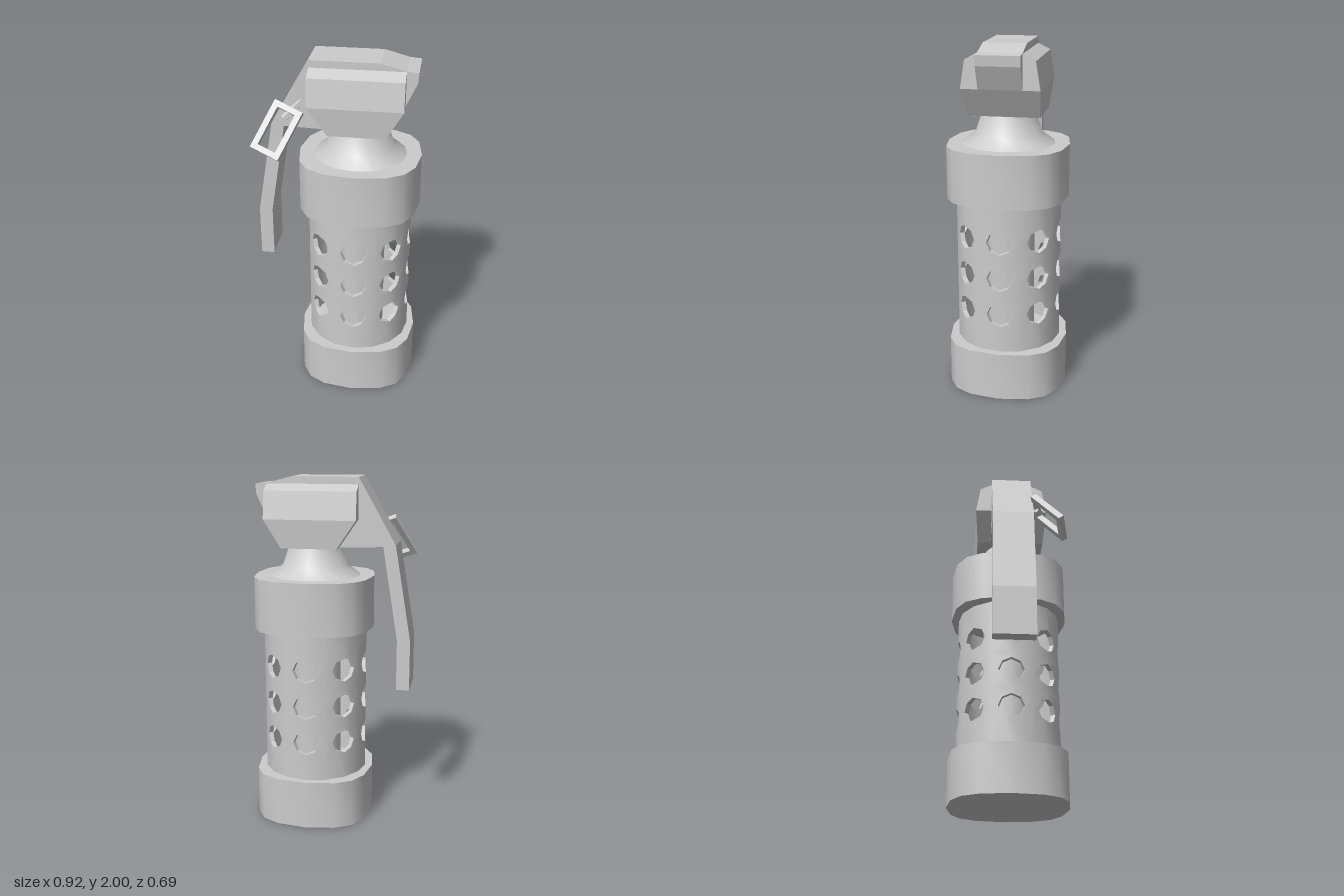
import * as THREE from 'three';
import { toCreasedNormals } from 'three/addons/utils/BufferGeometryUtils.js';

const AXIS = 0.11; // x of the canister axis
const smooth = new THREE.MeshStandardMaterial({ color: 0xcccccc, side: THREE.DoubleSide });
const flat = new THREE.MeshStandardMaterial({ color: 0xcccccc, flatShading: true, side: THREE.DoubleSide });

function add(group, name, geometry, material, x = 0, y = 0, z = 0) {
  const mesh = new THREE.Mesh(geometry, material);
  mesh.name = name;
  mesh.position.set(x, y, z);
  group.add(mesh);
  return mesh;
}

const shapeOf = (pts) => new THREE.Shape(pts.map(([x, y]) => new THREE.Vector2(x, y)));

// Triangle soup from quads
function quadGeometry(quads) {
  const pos = [];
  for (const [a, b, c, d] of quads) for (const p of [a, b, c, a, c, d]) pos.push(p.x, p.y, p.z);
  const g = new THREE.BufferGeometry();
  g.setAttribute('position', new THREE.Float32BufferAttribute(pos, 3));
  g.computeVertexNormals();
  return g;
}

// End collar: 16-sided, slightly squared outline
function collarGeometry(height) {
  const quarter = [[0.345, 0], [0.32, 0.17], [0.265, 0.265], [0.17, 0.32]];
  const pts = [];
  for (let q = 0; q < 4; q++) {
    const c = Math.round(Math.cos(q * Math.PI / 2)), s = Math.round(Math.sin(q * Math.PI / 2));
    for (const [x, y] of quarter) pts.push([x * c - y * s, x * s + y * c]);
  }
  const g = new THREE.ExtrudeGeometry(shapeOf(pts), { depth: height, bevelEnabled: false });
  g.rotateX(-Math.PI / 2);
  return toCreasedNormals(g, 0.6);
}

// Perforated 16-sided tube: 8 columns by 3 rows of octagonal holes, with wall thickness
function tubeGeometry(rOut, rIn) {
  const step = Math.PI / 8, quads = [];
  const at = (a, y, r) => new THREE.Vector3(Math.sin(a) * r, y, Math.cos(a) * r);
  // point on the faceted wall, offset o from the column centre
  const wall = (a, o, y, r) =>
    at(a, y, r).lerp(at(a + Math.sign(o) * step, y, r), Math.abs(o) / step);
  const rows = [[0.5, 0.28, 0.61], [0.715, 0.61, 0.82], [0.93, 0.82, 1.14]];
  const sign = (v) => (Math.abs(v) < 1e-6 ? 0 : Math.sign(v));
  for (let i = 0; i < 8; i++) for (const [yc, y0, y1] of rows) {
    const a = i * 2 * step;
    const hole = (k, r) => {
      const t = k * Math.PI / 4;
      return wall(a, Math.cos(t) * 0.255, yc + Math.sin(t) * 0.068, r);
    };
    const edge = (k, r) => {
      const t = k * Math.PI / 4, s = sign(Math.sin(t));
      return wall(a, sign(Math.cos(t)) * step, s > 0 ? y1 : s < 0 ? y0 : yc, r);
    };
    for (let k = 0; k < 8; k++) {
      quads.push([hole(k, rOut), edge(k, rOut), edge(k + 1, rOut), hole(k + 1, rOut)]);
      quads.push([hole(k + 1, rIn), edge(k + 1, rIn), edge(k, rIn), hole(k, rIn)]);
      quads.push([hole(k, rOut), hole(k + 1, rOut), hole(k + 1, rIn), hole(k, rIn)]);
    }
  }
  return toCreasedNormals(quadGeometry(quads), 0.6);
}

// Head block lofted through rectangles [y, xMin, xMax, halfDepth]
function headGeometry() {
  const rings = [
    [1.61, -0.05, 0.265, 0.2], [1.77, -0.16, 0.36, 0.215],
    [1.925, -0.16, 0.36, 0.19], [1.96, -0.16, 0.36, 0.12],
  ].map(([y, a, b, z]) => [[a, z], [b, z], [b, -z], [a, -z]].map(([x, w]) => new THREE.Vector3(x, y, w)));
  const quads = [[...rings[0]].reverse(), rings[rings.length - 1]];
  for (let i = 0; i < rings.length - 1; i++) for (let k = 0; k < 4; k++) {
    const n = (k + 1) % 4;
    quads.push([rings[i][k], rings[i][n], rings[i + 1][n], rings[i + 1][k]]);
  }
  return quadGeometry(quads);
}

export function createModel() {
  const model = new THREE.Group();
  model.name = 'canister';

  // Body
  add(model, 'bottomCollar', collarGeometry(0.28), smooth, AXIS, 0, 0);
  add(model, 'topCollar', collarGeometry(0.3), smooth, AXIS, 1.14, 0);
  add(model, 'perforatedTube', tubeGeometry(0.302, 0.275), smooth, AXIS, 0, 0);
  add(model, 'innerCore', new THREE.CylinderGeometry(0.15, 0.15, 0.9, 16), smooth, AXIS, 0.71, 0);

  // Neck
  const neck = [[0.27, 1.435], [0.19, 1.495], [0.145, 1.63]].map(([r, y]) => new THREE.Vector2(r, y));
  add(model, 'neck', toCreasedNormals(new THREE.LatheGeometry(neck, 16), 0.9), smooth, AXIS, 0, 0);

  // Head and safety lever
  add(model, 'head', headGeometry(), flat);
  const lever = shapeOf([
    [-0.46, 0.8], [-0.385, 0.8], [-0.385, 1.09], [-0.3, 1.62], [-0.05, 1.612], [0.2, 1.65],
    [0.36, 1.77], [0.42, 1.9], [0.425, 1.957], [0.36, 1.963], [0.22, 2], [-0.16, 2], [-0.37, 1.63], [-0.46, 1.09],
  ]);
  add(model, 'lever', new THREE.ExtrudeGeometry(lever, { depth: 0.24, bevelEnabled: false }), flat, 0, 0, -0.12);

  // Tilted rectangular pull ring
  const w = 0.085, h = 0.145, bar = 0.032;
  const rect = (a, b) => [[-a, -b], [a, -b], [a, b], [-a, b]];
  const frame = shapeOf(rect(w, h));
  frame.holes.push(shapeOf(rect(w - bar, h - bar)));
  const ringGeo = new THREE.ExtrudeGeometry(frame, { depth: 0.036, bevelEnabled: false });
  ringGeo.translate(0, 0, -0.018);
  const up = new THREE.Vector3(0.12, 0.23, -0.155).normalize();
  const normal = new THREE.Vector3(0, 0.56, 0.83).normalize();
  const side = new THREE.Vector3().crossVectors(up, normal).normalize();
  normal.crossVectors(side, up);
  const ring = add(model, 'pullRing', ringGeo, flat, -0.32, 1.632, 0.212);
  ring.quaternion.setFromRotationMatrix(new THREE.Matrix4().makeBasis(side, up, normal));

  // Pin joining the ring to the lever
  const from = new THREE.Vector3(-0.19, 1.78, 0.11), to = new THREE.Vector3(-0.29, 1.68, 0.16);
  const dir = to.clone().sub(from);
  const pin = add(model, 'pin', new THREE.CylinderGeometry(0.022, 0.015, dir.length(), 5), flat);
  pin.position.copy(from).add(to).multiplyScalar(0.5);
  pin.quaternion.setFromUnitVectors(new THREE.Vector3(0, 1, 0), dir.normalize());

  return model;
}
